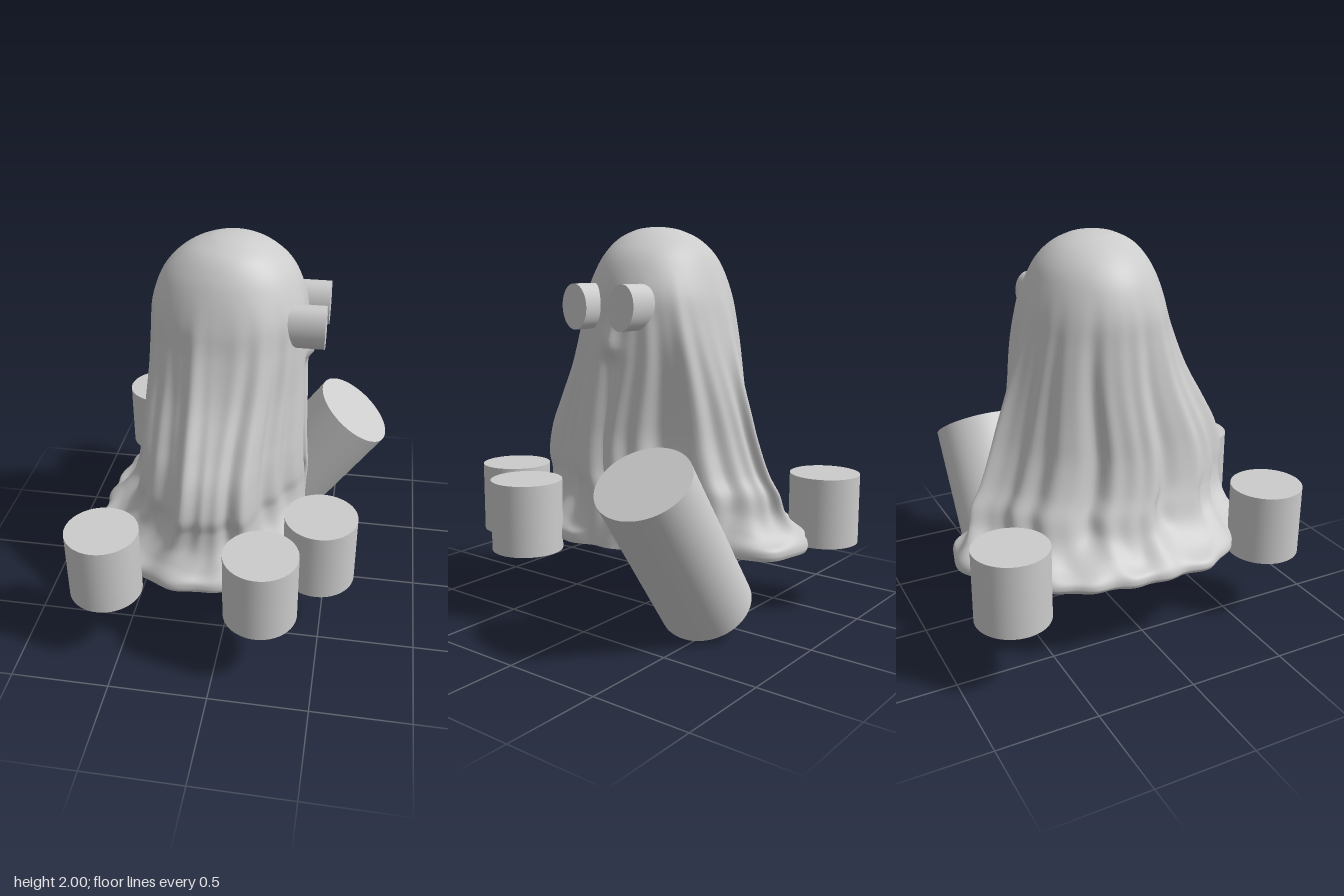
import * as THREE from 'three';

const SEG = 200;
const CX = -0.15, CZ = -0.05; // middle of the hem

// Sheet sections: [y, xMin, xMax, zMin, zMax, fold depth, spread towards the hem]
const SECTIONS = [
  [2.0, -0.035, -0.035, -0.05, -0.05, 0, 0],
  [1.996, -0.09, 0.02, -0.105, 0.005, 0, 0],
  [1.982, -0.155, 0.085, -0.17, 0.065, 0, 0],
  [1.94, -0.25, 0.17, -0.255, 0.145, 0, 0],
  [1.87, -0.335, 0.25, -0.325, 0.205, 0, 0],
  [1.78, -0.395, 0.3, -0.372, 0.25, 0, 0],
  [1.65, -0.437, 0.335, -0.42, 0.297, 0.003, 0],
  [1.5, -0.45, 0.34, -0.46, 0.34, 0.01, 0],
  [1.3, -0.465, 0.348, -0.515, 0.42, 0.018, 0],
  [1.1, -0.485, 0.36, -0.575, 0.535, 0.025, 0],
  [0.95, -0.5, 0.367, -0.62, 0.615, 0.028, 0],
  [0.8, -0.525, 0.375, -0.675, 0.65, 0.03, 0],
  [0.7, -0.545, 0.38, -0.725, 0.63, 0.03, 0.04],
  [0.6, -0.55, 0.38, -0.73, 0.62, 0.03, 0.2],
  [0.52, -0.55, 0.38, -0.73, 0.62, 0.025, 0.55],
  [0.47, -0.55, 0.38, -0.73, 0.62, 0.02, 0.92],
  [0.435, -0.55, 0.38, -0.73, 0.62, 0.01, 1.0],
  [0.412, -0.55, 0.38, -0.73, 0.62, 0.01, 0.95],
];

// Hem radius every 15 degrees, from +x round to +z
const HEM = [0.51, 0.55, 0.63, 0.68, 0.71, 0.745, 0.76, 0.745, 0.7, 0.67, 0.65, 0.59,
  0.57, 0.57, 0.6, 0.64, 0.67, 0.75, 0.81, 0.77, 0.6, 0.55, 0.525, 0.5];

// Catmull-Rom value between four neighbours
function spline(a, b, c, d, t) {
  return b + 0.5 * t * (c - a + t * (2 * a - 5 * b + 4 * c - d + t * (3 * (b - c) + d - a)));
}

function hemRadius(angle) {
  const n = HEM.length, u = (angle / (2 * Math.PI)) * n, i = Math.floor(u);
  const at = k => HEM[(k + n) % n];
  return spline(at(i - 1), at(i), at(i + 1), at(i + 2), u - i) + 0.008 * Math.sin(19 * angle + 1);
}

function sectionAt(u) {
  const last = SECTIONS.length - 1, i = Math.min(Math.floor(u), last - 1);
  const at = k => SECTIONS[Math.max(0, Math.min(last, k))];
  return SECTIONS[0].map((_, k) => spline(at(i - 1)[k], at(i)[k], at(i + 1)[k], at(i + 2)[k], u - i));
}

// Nose pressing through the cloth: fades out upwards, ends sharply below
function noseBump(y, z) {
  const dy = (y - 1.42) / (y > 1.42 ? 0.11 : 0.05), dz = (z + 0.05) / 0.055;
  return 0.05 * Math.exp(-dy * dy - dz * dz);
}

// Point on the draped sheet
function sheetPoint(u, angle) {
  const [y, x0, x1, z0, z1, fold, spread] = sectionAt(u);
  const c = Math.cos(angle), s = Math.sin(angle);
  // round head, pointed over the two arms, flatter on the face
  const drape = THREE.MathUtils.smoothstep(-y, -1.55, -0.9);
  const power = 1 + drape * (0.28 + 0.17 * (c - s));
  const face = c > 0 ? 0.2 * THREE.MathUtils.smoothstep(-y, -1.9, -1.65) * (1 - 0.6 * drape) : 0;
  const cx = (x0 + x1) / 2, cz = (z0 + z1) / 2;
  // long folds that drift slightly as they fall
  const drift = 0.35 * Math.sin(y * 2.2);
  const pleat = -0.75 * Math.cos(9 * angle - 0.6 + drift * Math.sin(angle))
    - 0.5 * Math.cos(16 * angle - 1.2 - drift) + 0.25 * Math.cos(27 * angle + 0.4);
  const inset = fold * (pleat - 0.6);
  const z = cz + Math.sign(s) * Math.abs(s) ** power * (z1 - z0) / 2 + s * inset;
  const x = cx + Math.sign(c) * Math.abs(c) ** (power - face) * (x1 - x0) / 2 + c * inset
    + (c > 0 ? noseBump(y, z) : 0);
  const r = hemRadius(angle);
  const rumple = 0.8 * fold * spread * (1 - spread) * 4 * Math.sin(11 * angle + 0.6);
  return [THREE.MathUtils.lerp(x, CX + c * r, spread), y + rumple, THREE.MathUtils.lerp(z, CZ + s * r, spread)];
}

// Closed rings joined from top to bottom
function loft(rows, pointAt) {
  const positions = [], index = [];
  for (let j = 0; j <= rows; j++) {
    for (let i = 0; i < SEG; i++) {
      positions.push(...pointAt(j / rows, (i / SEG) * 2 * Math.PI));
      if (j === rows) continue;
      const a = j * SEG + i, b = j * SEG + (i + 1) % SEG;
      index.push(a, b, a + SEG, b, b + SEG, a + SEG);
    }
  }
  const geometry = new THREE.BufferGeometry();
  geometry.setAttribute('position', new THREE.Float32BufferAttribute(positions, 3));
  geometry.setIndex(index);
  geometry.computeVertexNormals();
  return geometry;
}

export function createModel() {
  const group = new THREE.Group();
  const material = new THREE.MeshStandardMaterial({ color: 0xcccccc });
  const add = (name, geometry, x = 0, y = 0, z = 0) => {
    const mesh = new THREE.Mesh(geometry, material);
    mesh.name = name;
    mesh.position.set(x, y, z);
    group.add(mesh);
    return mesh;
  };

  // Draped sheet and its flat underside
  const last = SECTIONS.length - 1;
  add('sheet', loft(136, (t, angle) => sheetPoint(t * last, angle)));
  add('underside', loft(4, (t, angle) => {
    const [x, y, z] = sheetPoint(last, angle);
    return [THREE.MathUtils.lerp(x, CX, t), y, THREE.MathUtils.lerp(z, CZ, t)];
  }));

  // Eye pegs facing +x
  for (const [name, z, tilt] of [['leftEye', -0.193, -0.12], ['rightEye', 0.095, 0.05]]) {
    const eye = new THREE.CylinderGeometry(1, 1, 0.235, 48);
    eye.rotateZ(-Math.PI / 2).scale(1, 0.111, 0.077).rotateX(tilt);
    add(name, eye, 0.318, 1.612, z);
  }

  // Leaning cylinder beside the sheet
  const leaning = add('leaningCylinder', new THREE.CylinderGeometry(1, 1, 0.875, 64), 0.337, 0.491, -0.447);
  leaning.scale.set(0.226, 1, 0.245);
  leaning.rotation.z = -0.62;

  // Short cylinders around the hem
  for (const [x, z] of [[-0.595, -0.74], [-0.57, 0.678], [0.222, 0.738], [0.48, 0.402]]) {
    add('shortCylinder', new THREE.CylinderGeometry(0.183, 0.183, 0.366, 64), x, 0.543, z);
  }
  return group;
}
